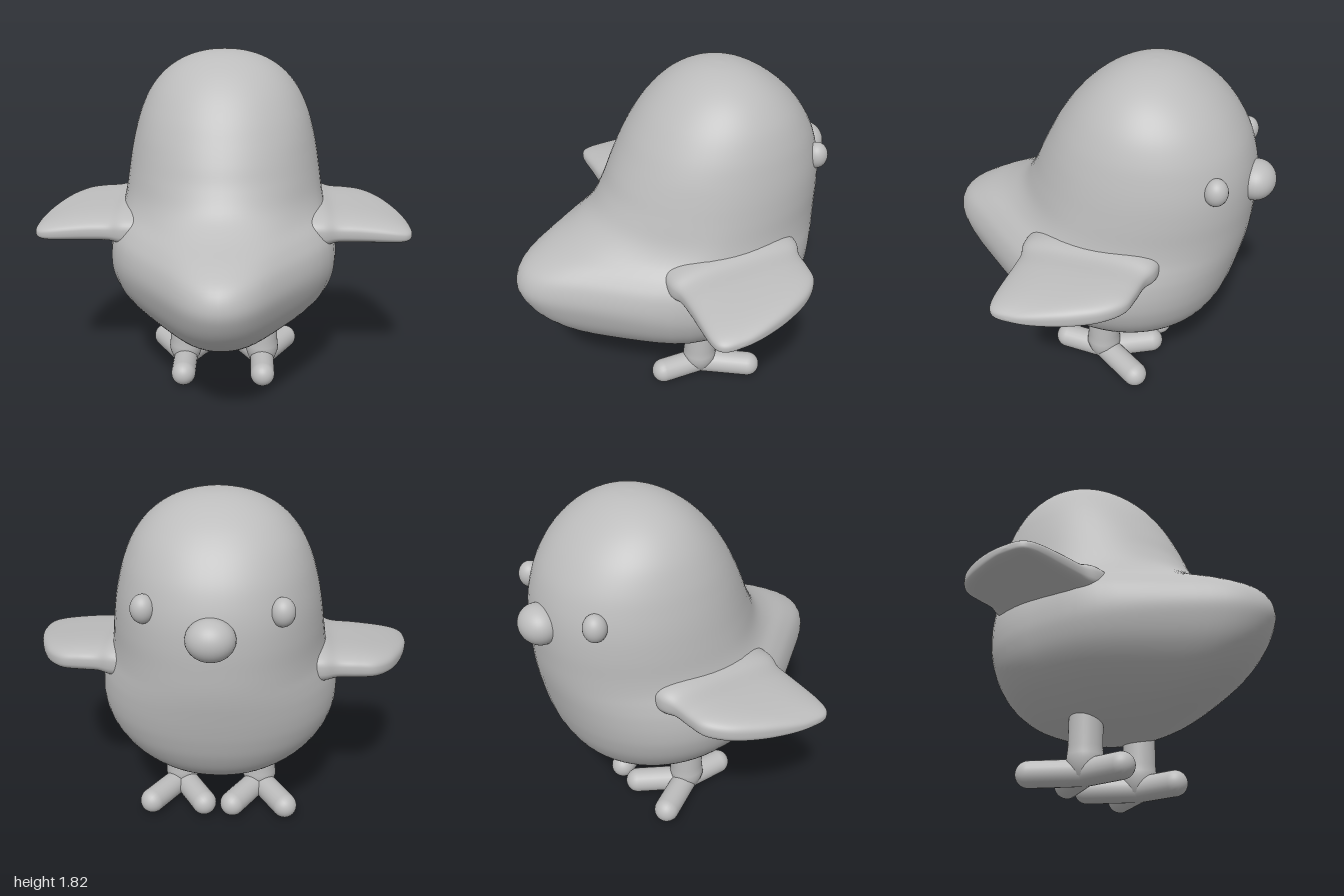
import * as THREE from 'three';
import { mergeVertices } from 'three/addons/utils/BufferGeometryUtils.js';

// Skin a list of closed rings (arrays of [x, y, z]) into a smooth surface
function loft(rings) {
  const n = rings[0].length, pos = rings.flat(2), index = [];
  for (let i = 0; i < rings.length - 1; i++) {
    for (let j = 0; j < n; j++) {
      const k = (j + 1) % n;
      const a = i * n + j, b = i * n + k, c = a + n, d = b + n;
      index.push(a, c, b, b, c, d);
    }
  }
  let g = new THREE.BufferGeometry();
  g.setAttribute('position', new THREE.Float32BufferAttribute(pos, 3));
  g.setIndex(index);
  g = mergeVertices(g, 1e-4);
  g.computeVertexNormals();
  return g;
}

// Smoothly interpolate six-column rows into `count` + 1 rows
function smoothRows(rows, count) {
  const curve = (o) => new THREE.CatmullRomCurve3(
    rows.map((r) => new THREE.Vector3(r[o], r[o + 1], r[o + 2])), false, 'catmullrom', 0.5);
  const a = curve(0), b = curve(3);
  return Array.from({ length: count + 1 }, (_, i) =>
    [...a.getPoint(i / count).toArray(), ...b.getPoint(i / count).toArray()]);
}

const SEG = 64;
const ring = (fn) => Array.from({ length: SEG }, (_, j) => fn((j / SEG) * Math.PI * 2));
const soft = (v, p) => Math.sign(v) * Math.pow(Math.abs(v), p);

// Body: height, face z, tail z, half width, z of widest point, tail taper
function bodyGeometry() {
  const rows = [
    [0.292, -0.07, -0.07, 0.0, -0.07, 0.0],
    [0.298, -0.2, 0.08, 0.13, -0.08, 0.05],
    [0.315, -0.31, 0.21, 0.225, -0.09, 0.1],
    [0.348, -0.42, 0.35, 0.31, -0.1, 0.15],
    [0.4, -0.535, 0.52, 0.4, -0.11, 0.2],
    [0.48, -0.622, 0.68, 0.5, -0.12, 0.25],
    [0.58, -0.68, 0.795, 0.575, -0.12, 0.28],
    [0.68, -0.715, 0.862, 0.612, -0.12, 0.3],
    [0.77, -0.738, 0.885, 0.62, -0.12, 0.3],
    [0.86, -0.757, 0.845, 0.61, -0.12, 0.3],
    [0.93, -0.77, 0.735, 0.588, -0.13, 0.26],
    [1.0, -0.779, 0.57, 0.56, -0.15, 0.18],
    [1.08, -0.784, 0.45, 0.542, -0.17, 0.1],
    [1.19, -0.787, 0.375, 0.527, -0.2, 0.04],
    [1.3, -0.78, 0.325, 0.51, -0.22, 0.02],
    [1.4, -0.759, 0.275, 0.488, -0.23, 0],
    [1.5, -0.72, 0.22, 0.458, -0.24, 0],
    [1.6, -0.655, 0.15, 0.412, -0.25, 0],
    [1.68, -0.58, 0.075, 0.352, -0.25, 0],
    [1.74, -0.5, 0.0, 0.282, -0.25, 0],
    [1.785, -0.418, -0.082, 0.196, -0.25, 0],
    [1.811, -0.335, -0.165, 0.1, -0.25, 0],
    [1.82, -0.25, -0.25, 0.0, -0.25, 0],
  ];
  return loft(smoothRows(rows, 110).map(([y, zf, zb, hw, zc, k]) => ring((t) => {
    const s = Math.sin(t), c = Math.cos(t);
    const taper = 1 - k * THREE.MathUtils.smoothstep(s, 0.25, 0.9);
    return [hw * soft(c, s > 0 ? 1 : 0.94) * taper, y, zc + s * (s > 0 ? zb - zc : zc - zf)];
  })));
}

// Wing: distance out, leading z, trailing z, half thickness, centre height
function wingGeometry(side) {
  const rows = [
    [0.4, -0.46, 0.25, 0.1, 0.945, 0],
    [0.52, -0.46, 0.25, 0.1, 0.945, 0],
    [0.6, -0.43, 0.225, 0.08, 0.942, 0],
    [0.7, -0.42, 0.22, 0.076, 0.94, 0],
    [0.79, -0.4, 0.22, 0.07, 0.936, 0],
    [0.87, -0.32, 0.22, 0.061, 0.931, 0],
    [0.93, -0.2, 0.215, 0.05, 0.926, 0],
    [0.97, -0.08, 0.2, 0.036, 0.923, 0],
    [0.993, 0.02, 0.165, 0.02, 0.921, 0],
    [1.0, 0.095, 0.095, 0, 0.92, 0],
  ];
  return loft(smoothRows(rows, 54).map(([x, z0, z1, h, y]) => ring((t) => {
    const z = (z0 + z1) / 2 + ((z1 - z0) / 2) * soft(Math.cos(t), 0.62);
    return [side * x, y + h * soft(Math.sin(side * t), 0.7) - 0.07 * (z + 0.1), z];
  })));
}

export function createModel() {
  const model = new THREE.Group();
  model.name = 'bird';
  const grey = new THREE.MeshStandardMaterial({ color: 0xbcbcbc });
  grey.name = 'plain grey';

  const add = (parent, name, geometry, position = [0, 0, 0], scale = [1, 1, 1]) => {
    const mesh = new THREE.Mesh(geometry, grey);
    mesh.name = name;
    mesh.position.set(...position);
    mesh.scale.set(...scale);
    parent.add(mesh);
    return mesh;
  };

  add(model, 'body', bodyGeometry());

  // Beak
  const ball = new THREE.SphereGeometry(1, 32, 24);
  add(model, 'beak', ball, [0, 1.27, -0.785], [0.115, 0.1, 0.1]);

  // Leg profile, rounded off inside the foot
  const legProfile = [[0, 0.01], [0.045, 0.02], [0.07, 0.045], [0.085, 0.085], [0.095, 0.12],
    [0.092, 0.15], [0.088, 0.19], [0.087, 0.36]].map(([r, y]) => new THREE.Vector2(r, y));
  const legGeometry = new THREE.LatheGeometry(legProfile, 32);

  // Toe ends relative to the ankle: two forward, one back
  const toes = { innerToe: [-0.143, -0.24], outerToe: [0.143, -0.24], backToe: [0, 0.225] };

  for (const side of [1, -1]) {
    const label = side > 0 ? 'left' : 'right';
    add(model, label + 'Wing', wingGeometry(side));
    add(model, label + 'Eye', ball, [side * 0.315, 1.36, -0.661], [0.058, 0.069, 0.058]);

    const leg = new THREE.Group();
    leg.name = label + 'Leg';
    leg.position.set(side * 0.222, 0, -0.07);
    model.add(leg);
    add(leg, 'shin', legGeometry);
    for (const [name, [x, z]] of Object.entries(toes)) {
      const toe = add(leg, name, new THREE.CapsuleGeometry(0.068, Math.hypot(x, z), 10, 24),
        [side * x / 2, 0.068, z / 2]);
      toe.quaternion.setFromUnitVectors(new THREE.Vector3(0, 1, 0),
        new THREE.Vector3(side * x, 0, z).normalize());
    }
  }
  return model;
}
